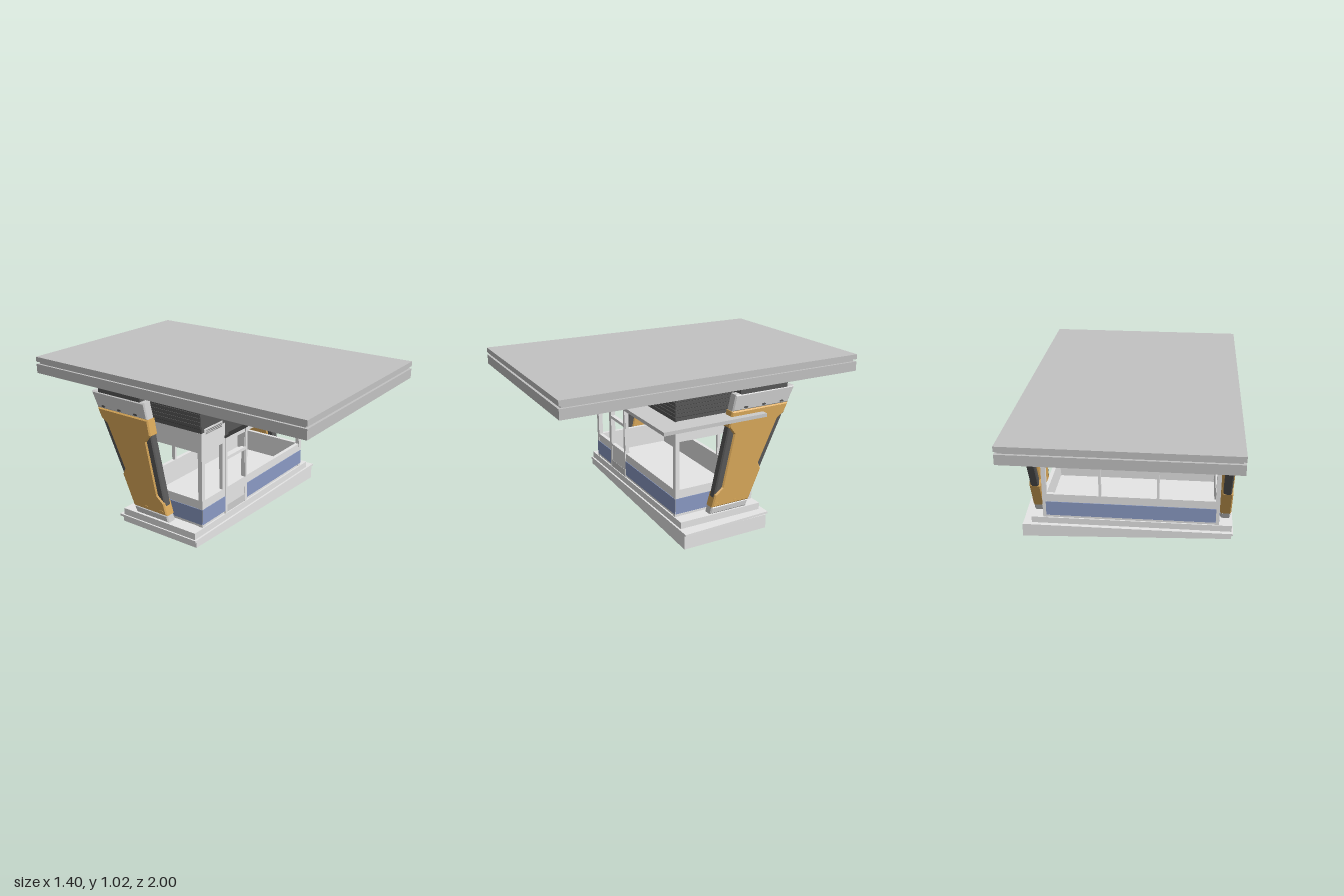
import * as THREE from 'three';

const mat = (name, color) => {
  const m = new THREE.MeshStandardMaterial({ color });
  m.name = name;
  return m;
};

export function createModel() {
  const wall = mat('light grey wall', 0xe6e6e6);
  const roofGrey = mat('roof grey', 0xc3c3c3);
  const capGrey = mat('column grey', 0xcccccc);
  const dark = mat('charcoal', 0x585858);
  const black = mat('black gap', 0x383838);
  const blue = mat('blue panel', 0x8a9ac4);
  const yellow = mat('ochre', 0xd9a859);

  const model = new THREE.Group();
  model.name = 'checkpointBooth';

  const add = (name, geo, material, parent = model) => {
    const m = new THREE.Mesh(geo, material);
    m.name = name;
    parent.add(m);
    return m;
  };
  // box given by its limits on each axis
  const box = (name, material, [x0, x1], [y0, y1], [z0, z1]) => {
    const g = new THREE.BoxGeometry(x1 - x0, y1 - y0, z1 - z0);
    g.translate((x0 + x1) / 2, (y0 + y1) / 2, (z0 + z1) / 2);
    return add(name, g, material);
  };
  const poly = (pts) => new THREE.Shape(pts.map(([a, b]) => new THREE.Vector2(a, b)));
  const rect = (x0, x1, y0, y1) => [[x0, y0], [x1, y0], [x1, y1], [x0, y1]];
  // plate of the given depth, with rectangular holes and an optional chamfer
  const extrude = (pts, depth, holes = [], bevel = 0) => {
    const s = poly(pts);
    holes.forEach((h) => s.holes.push(poly(rect(...h))));
    return new THREE.ExtrudeGeometry(s, {
      depth: depth - 2 * bevel, bevelEnabled: bevel > 0, bevelSegments: 1,
      bevelThickness: bevel, bevelSize: bevel, bevelOffset: -bevel,
    }).translate(0, 0, bevel);
  };
  // side profile (u = -z, y) extruded along x
  const sideExtrude = (pts, x, depth, holes, bevel) =>
    extrude(pts, depth, holes, bevel).rotateY(Math.PI / 2).translate(x, 0, 0);
  // plan profile (x, -z) extruded upwards
  const planExtrude = (pts, y, height, holes) =>
    extrude(pts, height, holes).rotateX(-Math.PI / 2).translate(0, y, 0);

  // ---- Base: sloping plinth, curb with a skewed end, floor slab
  add('plinth', extrude([[-0.69, 0.055], [0.66, 0.001], [0.683, 0], [0.683, 0.09], [-0.69, 0.09]], 0.585)
    .translate(0, 0, -0.297), wall);
  add('curb', planExtrude([[-0.7, -0.29], [0.7, -0.29], [0.675, 0.315], [-0.7, 0.315]], 0.09, 0.014), wall);
  box('floorSlab', wall, [-0.69, 0.62], [0.1, 0.147], [-0.287, 0.278]);
  box('floor', wall, [-0.603, 0.538], [0.147, 0.161], [-0.278, 0.268]);
  box('floorGap', black, [-0.6, 0.535], [0.161, 0.166], [-0.275, 0.265]);
  box('floorCover', wall, [-0.58, 0.515], [0.166, 0.17], [-0.257, 0.247]);

  // ---- Booth walls with window openings
  const X0 = -0.605, X1 = 0.54, ZB = -0.28, ZF = 0.27, T = 0.025;
  const sill = 0.32, head = 0.625, top = 0.75, foot = 0.165;
  add('frontWall', extrude(rect(X0, X1, foot, top), T, [
    [-0.58, -0.4, sill, head], [-0.36, -0.165, 0.32, 0.505],
    [-0.36, -0.165, 0.525, head], [-0.14, 0.51, sill, head],
  ]).translate(0, 0, ZF - T), wall);
  add('backWall', extrude(rect(X0, X1, foot, top), T, [
    [-0.58, -0.218, sill, head], [-0.202, 0.157, sill, head], [0.173, 0.515, sill, head],
  ]).translate(0, 0, ZB), wall);
  [['rightWall', X1 - T], ['leftWall', X0]].forEach(([name, x]) =>
    add(name, sideExtrude(rect(-ZF + 0.001, -ZB - 0.001, foot, top), x, T,
      [[-0.245, 0.255, sill, head]]), wall));
  for (const x of [X0, X1 - T])
    for (const z of [ZB, ZF - T])
      box('cornerPost', wall, [x - 0.002, x + T + 0.002], [0.147, top], [z - 0.002, z + T + 0.002]);

  // blue lower panels
  const P = 0.004, band = [foot, 0.265];
  box('bluePanelFrontShort', blue, [X0, -0.377], band, [ZF, ZF + P]);
  box('bluePanelFrontLong', blue, [-0.14, X1], band, [ZF, ZF + P]);
  box('bluePanelBack', blue, [X0 + 0.02, X1 - 0.02], band, [ZB - P, ZB]);
  box('bluePanelRight', blue, [X1, X1 + P], band, [ZB + 0.015, ZF]);
  box('bluePanelLeft', blue, [X0 - P, X0], band, [ZB + 0.015, ZF]);

  // door leaf, kick plate and jambs
  for (const x of [-0.377, -0.162])
    box('doorJamb', wall, [x, x + 0.02], [0.147, 0.655], [ZF - T, ZF + 0.005]);
  box('doorLower', wall, [-0.357, -0.162], [0.147, 0.32], [ZF - 0.02, ZF + 0.002]);
  box('kickPlate', capGrey, [-0.357, -0.162], [0.15, 0.198], [ZF + 0.002, ZF + 0.004]);
  box('doorRail', wall, [-0.357, -0.162], [0.505, 0.525], [ZF, ZF + 0.004]);

  // vent beside the door
  box('ventFrame', wall, [-0.58, -0.405], [0.73, 0.772], [ZF, ZF + 0.004]);
  box('ventPanel', capGrey, [-0.573, -0.412], [0.736, 0.766], [ZF + 0.004, ZF + 0.006]);
  for (let i = 0; i < 3; i++)
    box('ventSlot', dark, [-0.57, -0.415], [0.741 + i * 0.009, 0.743 + i * 0.009], [ZF + 0.006, ZF + 0.007]);

  // ---- Dark upper housing with slats
  box('upperHousing', dark, [X0, X1 - 0.008], [0.748, 0.915], [-0.462, ZF - 0.008]);
  box('housingFrontPlain', dark, [X0, -0.375], [0.748, 0.912], [ZF - 0.008, ZF]);
  box('doorHeadUpper', dark, [-0.377, -0.14], [0.785, 0.912], [ZF - 0.008, ZF + 0.005]);
  box('doorHeadLower', dark, [-0.377, -0.14], [0.665, 0.785], [ZF - 0.008, ZF + 0.003]);
  box('doorHeadTrim', black, [-0.38, -0.137], [0.652, 0.668], [ZF - 0.008, ZF + 0.005]);
  box('doorHeadLamp', black, [-0.345, -0.172], [0.668, 0.68], [ZF, ZF + 0.005]);
  box('housingFrontBase', dark, [-0.14, X1], [0.748, 0.776], [ZF - 0.008, ZF]);
  box('slatGapFront', black, [-0.14, X1 - 0.004], [0.775, 0.912], [ZF - 0.008, ZF - 0.005]);
  box('slatGapBack', black, [X0, X1 - 0.008], [0.775, 0.912], [-0.465, -0.462]);
  box('slatGapRight', black, [X1 - 0.008, X1 - 0.005], [0.775, 0.912], [-0.462, ZF - 0.008]);
  box('slatGapLeft', black, [X0 - 0.003, X0], [0.775, 0.912], [-0.462, ZF - 0.008]);
  for (let i = 0; i < 6; i++) {
    const y = [0.779 + i * 0.0225, 0.798 + i * 0.0225];
    box('slatFront', dark, [-0.14, X1], y, [ZF - 0.006, ZF]);
    box('slatBack', dark, [X0, X1], y, [-0.47, -0.464]);
    box('slatRight', dark, [X1 - 0.006, X1], y, [-0.47, ZF]);
    box('slatLeft', dark, [X0 - 0.008, X0 - 0.002], y, [-0.47, ZF]);
  }
  box('crossBeam', dark, [-0.675, 0.61], [0.875, 0.915], [-0.47, -0.13]);

  // flat awning wrapping the front and right side
  add('awning', planExtrude([[-0.14, -0.412], [0.662, -0.412], [0.662, 0.287], [0.53, 0.287],
    [0.53, -0.26], [-0.14, -0.26]], 0.73, 0.022), capGrey);

  // ---- Leaning columns, profiles as (u = -z, y)
  const footPts = [[-0.07, 0.147], [0.19, 0.147], [0.208, 0.192], [-0.058, 0.192]];
  const bodyPts = [[-0.06, 0.19], [0.206, 0.19], [0.29, 0.38], [0.272, 0.42], [0.4, 0.69],
    [0.447, 0.72], [0.475, 0.782], [0.068, 0.782], [0.05, 0.685], [0.085, 0.64], [0.012, 0.31], [-0.037, 0.27]];
  const corePts = [[-0.045, 0.24], [0.225, 0.24], [0.455, 0.74], [0.057, 0.71]];
  const capPts = [[0.072, 0.78], [0.476, 0.78], [0.522, 0.88], [0.095, 0.88]];
  const bolts = [[-0.02, 0.212, yellow], [0.11, 0.212, yellow],
    [0.165, 0.797, dark], [0.295, 0.797, dark], [0.425, 0.797, dark]];
  for (const [name, x, out] of [['rightColumn', 0.547, 1], ['leftColumn', -0.685, -1]]) {
    const col = new THREE.Group();
    col.name = name;
    model.add(col);
    add('columnFoot', sideExtrude(footPts, x + 0.004, 0.064, [], 0.008), capGrey, col);
    add('columnBody', sideExtrude(bodyPts, x, 0.072, [], 0.008), yellow, col);
    add('columnCore', sideExtrude(corePts, x + 0.009, 0.054, [], 0.008), dark, col);
    add('columnCap', sideExtrude(capPts, x + 0.004, 0.064, [], 0.008), capGrey, col);
    for (const [u, y, material] of bolts) {
      const g = new THREE.CylinderGeometry(0.016, 0.016, 0.005, 12).scale(0.4, 1, 1);
      g.rotateZ(Math.PI / 2);
      add('bolt', g, material, col).position.set(x + 0.036 + out * (material === yellow ? 0.036 : 0.032), y, -u);
    }
  }

  // ---- Big flat roof: top plate, shadow gap, fascia ring and soffit
  const RX0 = -0.69, RX1 = 0.622;
  box('roofTop', roofGrey, [RX0, RX1], [0.986, 1.018], [-1, 1]);
  box('roofGap', roofGrey, [RX0 + 0.015, RX1 - 0.015], [0.965, 0.99], [-0.985, 0.985]);
  box('roofDeck', roofGrey, [RX0 + 0.002, RX1 - 0.002], [0.93, 0.971], [-0.998, 0.998]);
  const ring = (name, material, inset, width, y0, y1) => {
    const a = RX0 + inset, b = RX1 - inset, c = 1 - inset;
    add(name, planExtrude(rect(a, b, -c, c), y0, y1 - y0,
      [[a + width, b - width, -c + width, c - width]]), material);
  };
  ring('fascia', roofGrey, 0, 0.03, 0.91, 0.971);
  box('soffit', roofGrey, [RX0 + 0.03, RX1 - 0.03], [0.918, 0.93], [-0.97, 0.97]);
  ring('soffitTrim', wall, 0.055, 0.008, 0.914, 0.92);

  // strip lights under both overhangs
  for (let i = 0; i < 6; i++) {
    const x = 0.4 - i * 0.174;
    for (const z of [-0.76, 0.42])
      box('stripLight', wall, [x - 0.007, x + 0.007], [0.913, 0.92], [z, z + 0.34]);
  }
  return model;
}
